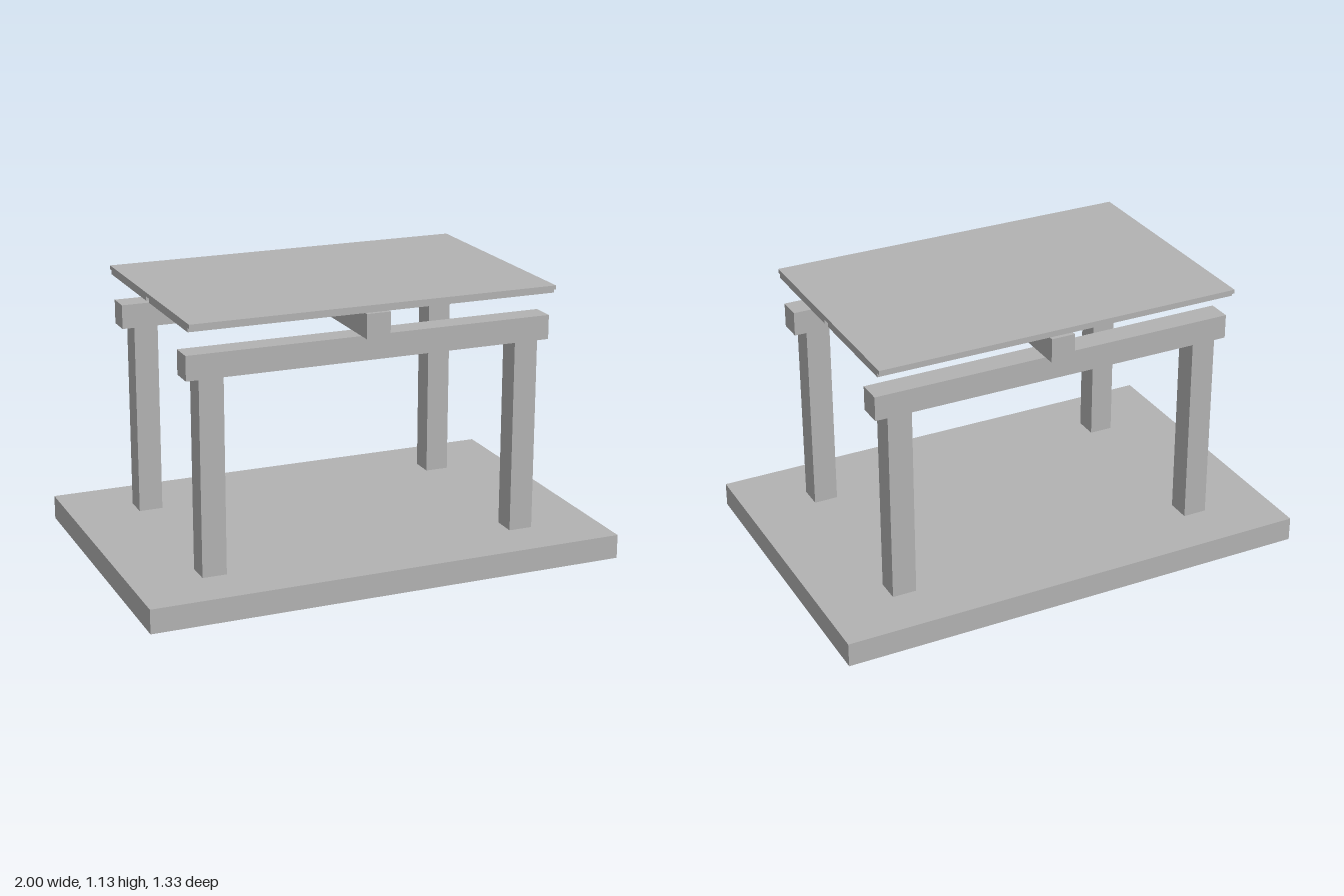
import * as THREE from 'three';

export function createModel() {
  const model = new THREE.Group();
  model.name = 'shelter';
  const grey = new THREE.MeshStandardMaterial({ color: 0xb2b2b2 });
  grey.name = 'plain grey';

  // Box with its centre at x, z and its underside at y
  function box(name, [w, h, d], [x, y, z]) {
    const mesh = new THREE.Mesh(new THREE.BoxGeometry(w, h, d), grey);
    mesh.name = name;
    mesh.position.set(x, y + h / 2, z);
    model.add(mesh);
  }

  // Base slab
  box('base', [2, 0.1, 1.3333], [0, 0, 0]);

  // Two frames, each a long beam on a pair of legs
  for (const [side, z] of [['front', 0.4], ['back', -0.4]]) {
    for (const [end, x] of [['Left', 0.6667], ['Right', -0.6667]]) {
      box(`${side}${end}Leg`, [0.1, 0.8, 0.1], [x, 0.1, z]);
    }
    box(`${side}Beam`, [1.5333, 0.1, 0.1], [0, 0.9, z]);
  }

  // Cross beam carrying the roof
  box('crossBeam', [0.1, 0.1, 1], [0, 1, 0]);

  // Roof sheet over two lower panels with a gap along the middle
  for (const [side, z] of [['front', 0.25], ['back', -0.25]]) {
    box(`${side}RoofPanel`, [1.5333, 0.0167, 0.4667], [0, 1.1, z]);
  }
  box('roofSheet', [1.5333, 0.0167, 1], [0, 1.1167, 0]);

  return model;
}
